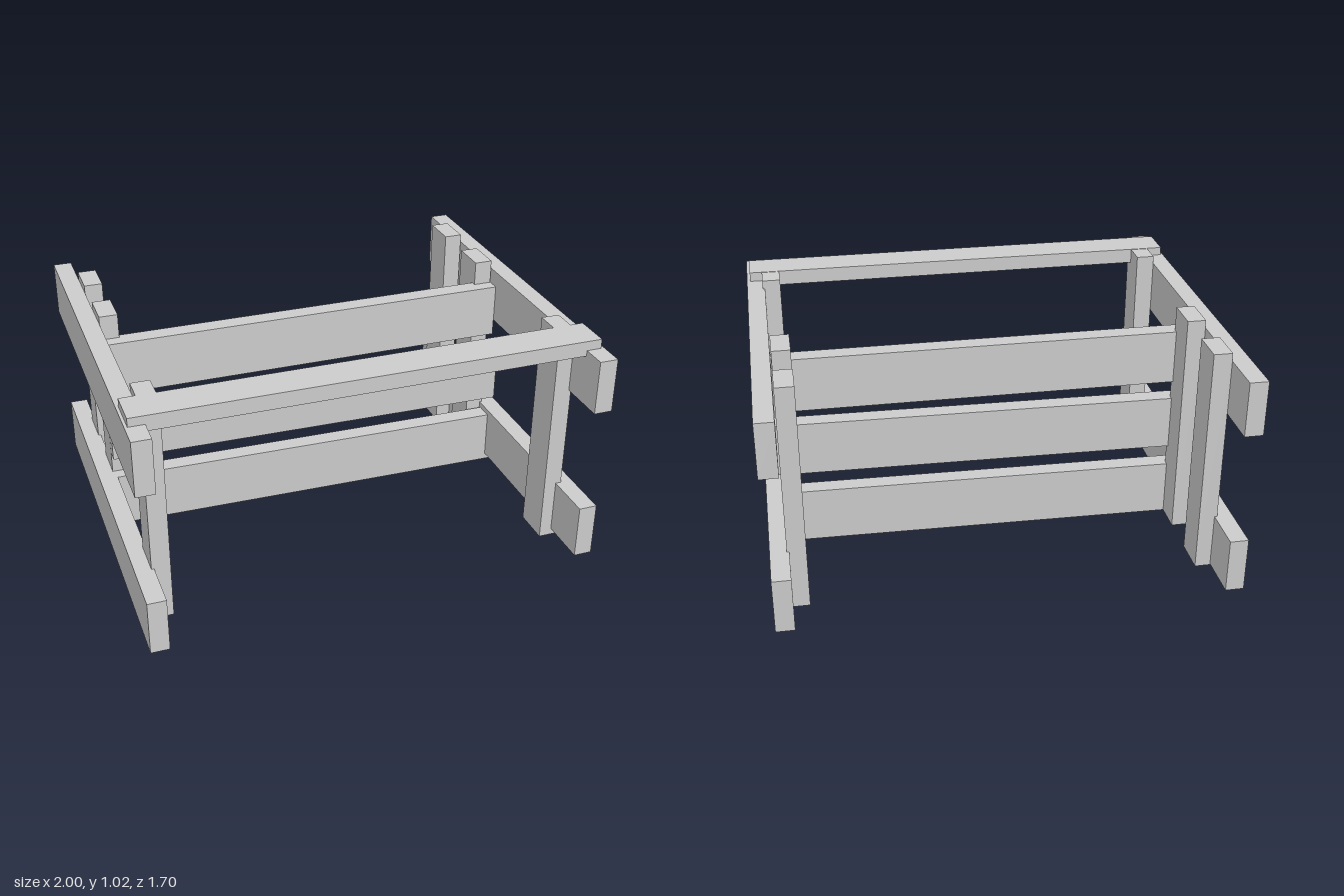
import * as THREE from 'three';

export function createModel() {
  const model = new THREE.Group();
  model.name = 'timberFrame';
  const material = new THREE.MeshStandardMaterial({ color: 0xcccccc, flatShading: true });

  // Plank given by its extents [min, max] on each axis
  function plank(name, [x0, x1], [y0, y1], [z0, z1], turn = 0) {
    const mesh = new THREE.Mesh(new THREE.BoxGeometry(x1 - x0, y1 - y0, z1 - z0), material);
    mesh.position.set((x0 + x1) / 2, (y0 + y1) / 2, (z0 + z1) / 2);
    mesh.rotation.y = turn;
    mesh.name = name;
    model.add(mesh);
  }

  // Long side rails, each pair set slightly differently
  const depth = [-0.848, 0.848];
  plank('rightUpperRail', [-1, -0.92], [0.745, 0.985], depth);
  plank('leftUpperRail', [0.92, 1], [0.74, 0.98], depth);
  plank('rightLowerRail', [-0.988, -0.908], [0.005, 0.248], depth);
  plank('leftLowerRail', [0.905, 0.985], [0.03, 0.273], depth);

  // Upright posts inside the rails
  const height = [0, 1.02];
  plank('rightFrontPost', [-0.92, -0.84], height, [0.47, 0.632]);
  plank('leftFrontPost', [0.85, 0.93], height, [0.47, 0.632]);
  for (const [name, z0, z1] of [['MiddlePost', -0.307, -0.147], ['BackPost', -0.645, -0.485]]) {
    plank('right' + name, [-0.92, -0.84], height, [z0, z1]);
    plank('left' + name, [0.835, 0.915], height, [z0, z1]);
  }

  // Cross boards: the two lower ones sit at a slight angle
  plank('upperCrossBoard', [-0.935, 0.917], [0.67, 0.912], [-0.17, -0.09]);
  plank('middleCrossBoard', [-0.92, 0.932], [0.343, 0.586], [-0.153, -0.073], -0.02);
  plank('lowerCrossBoard', [-0.92, 0.932], [0, 0.248], [-0.153, -0.073], -0.02);

  // Flat slat across the front posts
  plank('frontTopSlat', [-0.988, 0.985], [0.955, 1.022], [0.577, 0.738]);

  return model;
}
